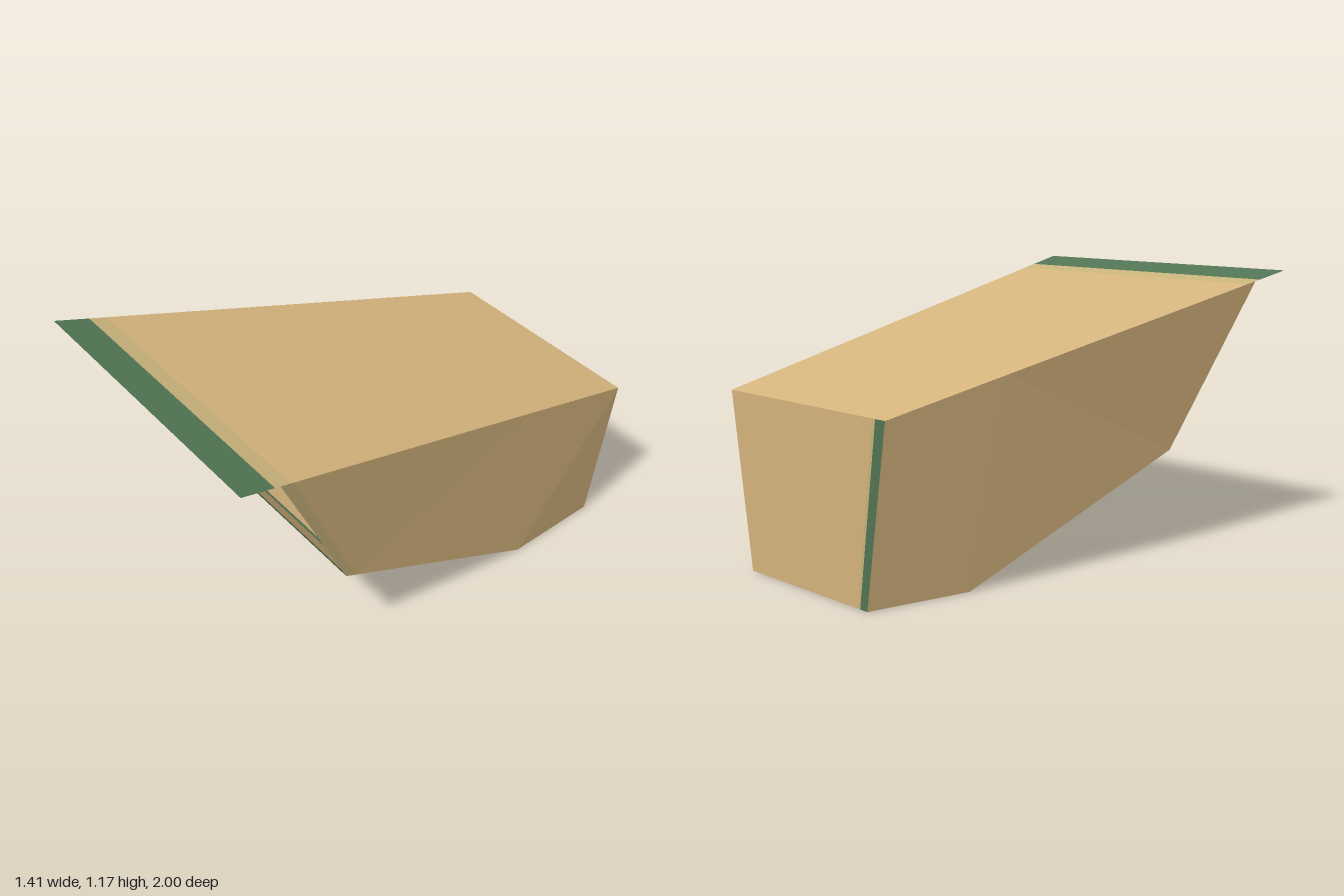
import * as THREE from 'three';

const material = (name, color) =>
  Object.assign(new THREE.MeshStandardMaterial({ color, side: THREE.DoubleSide, flatShading: true }), { name });

export function createModel() {
  const model = new THREE.Group();
  model.name = 'scoop';
  const tan = material('tan', 0xd6b57e);
  const green = material('green', 0x527554);
  const olive = material('olive', 0xc8b37b);
  const P = (x, y, z) => new THREE.Vector3(x, y, z);

  // Thin sheet a-b-c-d, divided into colour bands running from edge a-b to edge d-c.
  // Each band is [where it ends (0 to 1), material].
  function panel(name, [a, b, c, d], bands = [[1, tan]]) {
    const group = new THREE.Group();
    group.name = name;
    let start = 0;
    for (const [end, mat] of bands) {
      const p = a.clone().lerp(d, start), q = b.clone().lerp(c, start);
      const r = b.clone().lerp(c, end), s = a.clone().lerp(d, end);
      const geometry = new THREE.BufferGeometry().setFromPoints([p, q, r, p, r, s]);
      geometry.computeVertexNormals();
      const mesh = new THREE.Mesh(geometry, mat);
      mesh.name = `${name} ${mat.name}`;
      group.add(mesh);
      start = end;
    }
    model.add(group);
  }

  // Corner points of one side; m mirrors them
  const corners = (m) => ({
    backLow: P(0.38 * m, 0, -1),
    backHigh: P(0.5 * m, 0.725, -1),
    foldLow: P(0.435 * m, 0, -0.55),
    foldHigh: P(0.554 * m, 0.846, -0.46),
    mouthLow: P(0.55 * m, 0.44, 0.46),
    mouthHigh: P(0.686 * m, 1.134, 0.83),
    lipHigh: P(0.55 * m, 0.61, 0.54),
    roofFront: P(0.705 * m, 1.172, 1),
  });
  const L = corners(1), R = corners(-1);

  // Roof overhanging the mouth, with a painted front edge
  panel('roof', [L.backHigh, R.backHigh, R.roofFront, L.roofFront],
    [[0.892, tan], [0.927, olive], [1, green]]);

  // Side walls, folded slightly where the floor starts to rise
  for (const [name, s] of [['left', L], ['right', R]]) {
    panel(`${name} rear wall`, [s.backHigh, s.backLow, s.foldLow, s.foldHigh]);
    panel(`${name} front wall`, [s.foldHigh, s.foldLow, s.mouthLow, s.mouthHigh],
      s === L ? [[0.955, tan], [1, olive]] : [[1, tan]]);
  }

  // Back wall, painted along its right edge
  panel('back wall', [L.backHigh, L.backLow, R.backLow, R.backHigh],
    [[0.925, tan], [0.943, olive], [1, green]]);

  // Flat floor, rising ramp and front lip
  panel('floor', [L.backLow, R.backLow, R.foldLow, L.foldLow]);
  panel('ramp', [L.foldLow, R.foldLow, R.mouthLow, L.mouthLow], [[0.94, tan], [1, green]]);
  panel('front lip', [L.mouthLow, R.mouthLow, R.lipHigh, L.lipHigh],
    [[0.18, green], [0.35, olive], [1, tan]]);

  return model;
}
